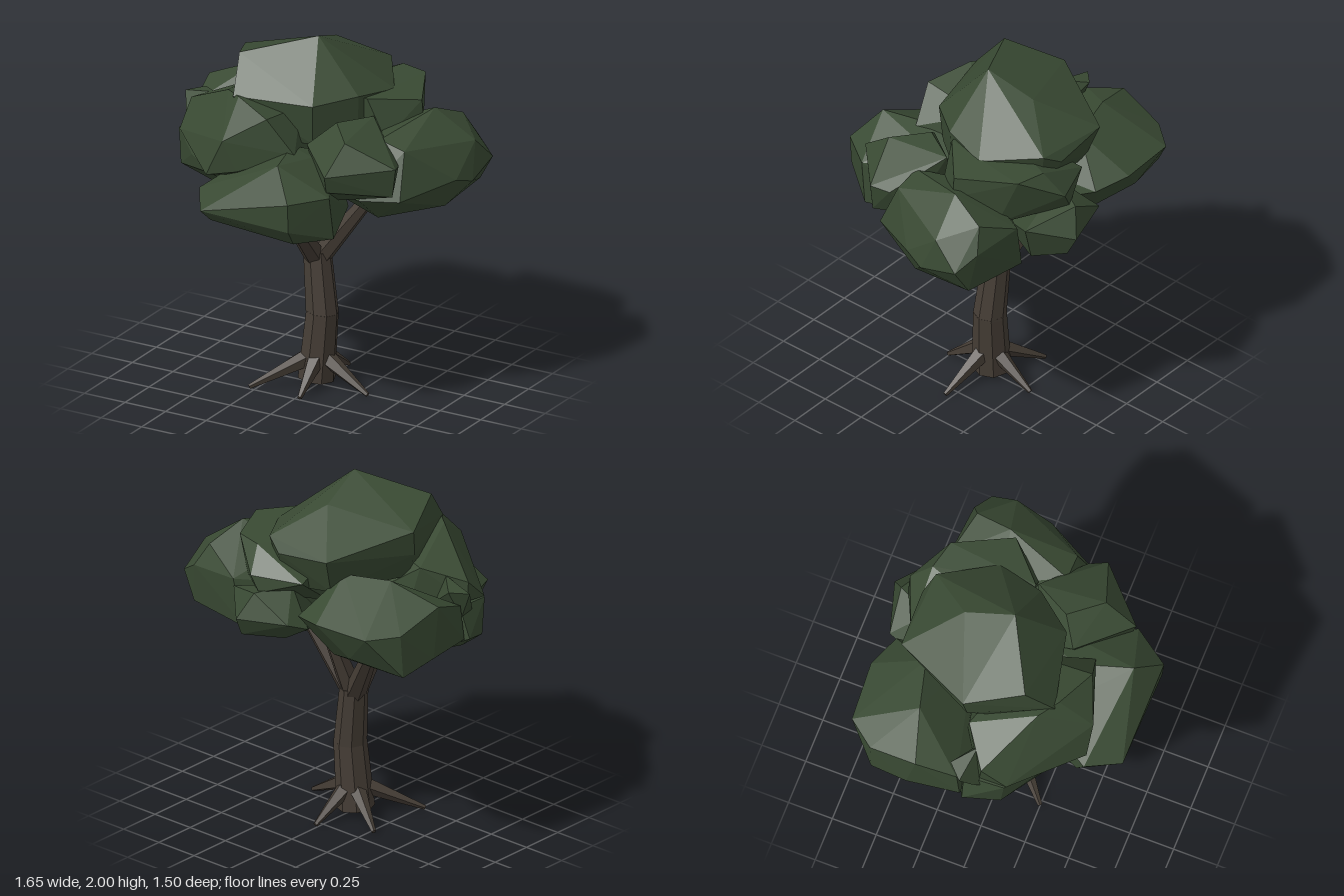
import * as THREE from 'three';
import { ConvexGeometry } from 'three/addons/geometries/ConvexGeometry.js';

const bark = new THREE.MeshStandardMaterial({ name: 'bark', color: 0x453d35, flatShading: true });
const leaves = new THREE.MeshStandardMaterial({ name: 'leaves', color: 0x394a33, flatShading: true });

// Faceted leaf clumps, each the hull of a few corner points
const clumps = {
  crownClump: [
    [0, 2, 0], [-.37, 1.9, .2], [-.51, 1.82, -.1], [-.5, 1.68, -.08], [-.32, 1.71, .35], [.11, 1.7, .25],
    [.27, 1.72, .04], [.34, 1.69, -.22], [.15, 1.74, -.51], [.05, 1.68, -.55], [-.28, 1.72, -.54],
    [-.05, 1.9, -.27], [-.3, 1.45, .27], [.1, 1.48, .23], [.26, 1.5, .03], [.3, 1.5, -.2], [.1, 1.45, -.45],
    [-.25, 1.52, -.47], [-.42, 1.52, -.05],
  ],
  frontRightClump: [
    [-.73, 1.53, .09], [-.72, 1.4, .23], [-.73, 1.42, .08], [-.37, 1.32, .55], [-.39, 1.71, .28], [-.28, 1.72, .36],
    [-.05, 1.67, .46], [.1, 1.48, .42], [-.2, 1.36, .52], [-.27, 1.53, .55], [-.4, 1.28, .1], [.05, 1.25, .1],
    [-.05, 1.62, .1], [-.52, 1.6, -.06], [-.1, 1.3, -.15], [-.45, 1.3, -.1],
  ],
  lowerRightClump: [
    [-.73, 1.19, .2], [-.73, 1.4, .22], [-.66, 1.13, .12], [-.5, 1.12, .2], [-.81, 1.25, .01], [-.3, 1.17, .32],
    [-.2, 1.16, 0], [-.4, 1.4, .1], [-.58, 1.32, .34], [-.37, 1.3, .48], [-.6, 1.15, -.1], [-.75, 1.42, 0],
  ],
  frontClump: [
    [-.41, 1.24, .55], [-.3, 1.19, .73], [-.39, 1.12, .5], [.12, 1.5, .63], [.25, 1.34, .75], [.25, 1.18, .74],
    [.24, 1.09, .67], [.39, 1.34, .55], [.4, 1.1, .52], [.23, 1.06, .55], [.17, 1.46, .35], [.03, 1.49, .33],
    [.22, 1.09, .06], [-.2, 1.09, .1], [-.25, 1.36, .25], [-.3, 1.1, .62], [.15, 1.4, .1],
  ],
  frontLeftClump: [
    [.23, 1.62, .2], [.38, 1.59, .37], [.34, 1.61, 0], [.42, 1.56, .07], [.64, 1.46, .28], [.6, 1.44, .18],
    [.62, 1.3, .28], [.36, 1.45, .55], [.36, 1.36, .53], [.1, 1.5, .29], [.2, 1.2, .3], [.5, 1.27, .12],
    [.15, 1.25, .05],
  ],
  leftClump: [
    [.57, 1.62, -.25], [.45, 1.54, .12], [.79, 1.46, -.3], [.81, 1.32, -.45], [.82, 1.26, -.22], [.79, 1.3, -.1],
    [.72, 1.14, -.1], [.72, 1.17, -.47], [.49, 1.07, -.13], [.45, 1.1, .14], [.63, 1.25, .22], [.42, 1.24, .29],
    [.6, 1.5, .12], [.39, 1.42, -.53], [.69, 1.4, -.505], [.62, 1.53, -.46], [.33, 1.15, -.51], [.12, 1.1, -.25],
    [.12, 1.15, .05], [.3, 1.52, -.2], [.15, 1.35, -.2],
  ],
  upperBackClump: [
    [0, 1.69, 0], [.3, 1.7, 0], [.52, 1.67, -.2], [.2, 1.69, -.55], [.36, 1.69, -.51], [.53, 1.55, -.2],
    [.15, 1.56, -.66], [.1, 1.47, -.65], [.4, 1.48, -.02], [.4, 1.4, -.4], [-.12, 1.55, -.55], [0, 1.3, -.2],
  ],
  lowerBackClump: [
    [.17, 1.33, -.755], [-.12, 1.35, -.67], [.1, 1.48, -.69], [.18, 1.22, -.7], [.36, 1.4, -.56],
    [.3, 1.2, -.55], [-.16, 1.3, -.55], [0, 1.2, -.55], [0, 1.5, -.5], [.1, 1.18, -.15],
  ],
  backRightClump: [
    [-.82, 1.53, -.25], [-.83, 1.25, -.3], [-.79, 1.25, -.01], [-.78, 1.45, -.03], [-.67, 1.43, -.67],
    [-.8, 1.2, -.51], [-.34, 1.43, -.69], [-.79, 1.44, -.52], [-.55, 1.63, -.33], [-.28, 1.61, -.4],
    [-.15, 1.4, -.62], [-.5, 1.25, -.6], [-.67, 1.15, -.3], [-.49, 1.13, -.15], [-.3, 1.18, -.5],
    [-.05, 1.18, -.2], [-.4, 1.18, .1], [-.1, 1.4, -.2],
  ],
  smallRightClump: [
    [-.82, 1.52, 0], [-.78, 1.42, .06], [-.74, 1.36, .11], [-.74, 1.53, -.08], [-.62, 1.56, .03],
    [-.76, 1.36, 0], [-.55, 1.38, 0],
  ],
};

// Tapered limb between two points
function limb(name, from, to, r0, r1, sides) {
  const a = new THREE.Vector3(...from), b = new THREE.Vector3(...to);
  const dir = b.clone().sub(a);
  const mesh = new THREE.Mesh(new THREE.CylinderGeometry(r1, r0, dir.length(), sides), bark);
  mesh.position.copy(a).add(b).multiplyScalar(.5);
  mesh.quaternion.setFromUnitVectors(new THREE.Vector3(0, 1, 0), dir.normalize());
  mesh.name = name;
  return mesh;
}

export function createModel() {
  const tree = new THREE.Group();
  tree.name = 'tree';

  // Slightly bent trunk
  tree.add(limb('lowerTrunk', [-.018, .035, -.01], [.012, .42, -.02], .103, .09, 8));
  tree.add(limb('upperTrunk', [.012, .4, -.02], [-.028, .75, -.035], .09, .077, 8));

  // Spreading roots
  const rootTips = [[-.28, .25], [.03, .25], [.32, .03], [.01, -.3], [-.28, -.16]];
  rootTips.forEach(([x, z]) => {
    const d = Math.hypot(x, z);
    tree.add(limb('root', [x / d * .05, .16, z / d * .05 - .01], [x, .016, z], .05, .013, 5));
  });

  // Branches reaching into the leaves
  const branchTips = [[.34, 1.2, -.1], [-.36, 1.2, -.22], [-.05, 1.2, .36], [.05, 1.25, -.22]];
  branchTips.forEach((tip) => tree.add(limb('branch', [-.028, .7, -.035], tip, .062, .033, 6)));

  const foliage = new THREE.Group();
  foliage.name = 'foliage';
  for (const [name, points] of Object.entries(clumps)) {
    const mesh = new THREE.Mesh(new ConvexGeometry(points.map((p) => new THREE.Vector3(...p))), leaves);
    mesh.name = name;
    foliage.add(mesh);
  }
  tree.add(foliage);
  return tree;
}
